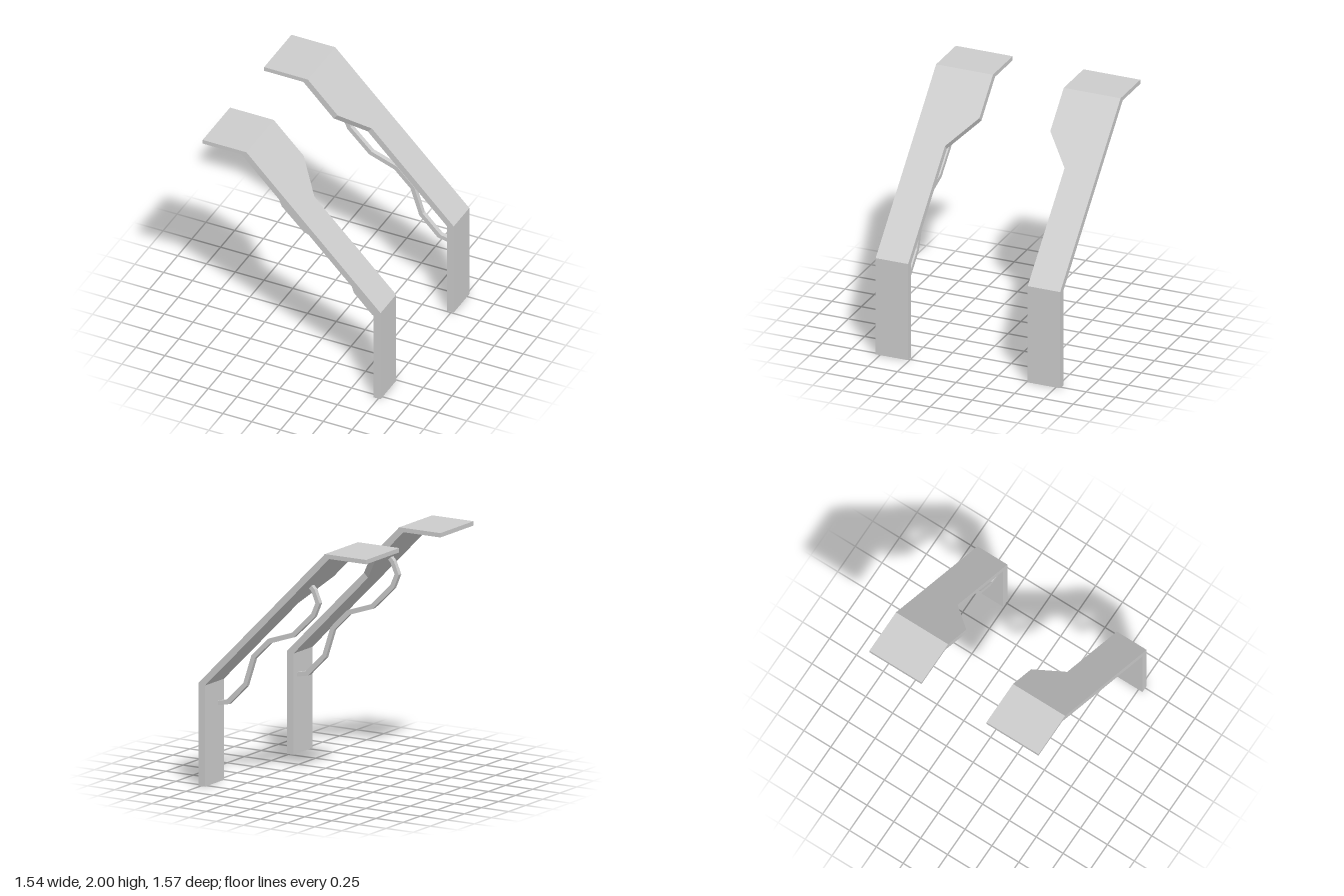
import * as THREE from 'three';

const material = new THREE.MeshStandardMaterial({ color: 0xcccccc, flatShading: true });
const Z_OUT = 0.787, Z_NARROW = 0.51, Z_WIDE = 0.302;

// Cross-sections along the strap: outer x, outer y, inner x, inner y, near-side z
const STATIONS = [
  [-0.775, 2.0, -0.775, 1.965, Z_WIDE],
  [-0.395, 2.0, -0.435, 1.965, Z_WIDE],
  [-0.135, 1.737, -0.172, 1.699, Z_WIDE],
  [0.06, 1.54, 0.023, 1.502, Z_NARROW],
  [0.77, 0.825, 0.71, 0.81, Z_NARROW],
  [0.77, 0, 0.71, 0, Z_NARROW],
];

// Bent flat strap: top flap, tapering slope and vertical leg
function strapGeometry(side) {
  const rings = STATIONS.map(([ox, oy, ix, iy, z]) => [
    [ox, oy, z * side], [ox, oy, Z_OUT * side],
    [ix, iy, Z_OUT * side], [ix, iy, z * side],
  ]);
  const positions = [];
  const quad = (a, b, c, d) => {
    const order = side > 0 ? [a, b, c, a, c, d] : [a, c, b, a, d, c];
    order.forEach((p) => positions.push(...p));
  };
  for (let i = 0; i < rings.length - 1; i++) {
    for (let k = 0; k < 4; k++) {
      const n = (k + 1) % 4;
      quad(rings[i][k], rings[i][n], rings[i + 1][n], rings[i + 1][k]);
    }
  }
  const [a, b, c, d] = rings[0];
  quad(a, d, c, b);
  quad(...rings[rings.length - 1]);
  const geometry = new THREE.BufferGeometry();
  geometry.setAttribute('position', new THREE.Float32BufferAttribute(positions, 3));
  geometry.computeVertexNormals();
  return geometry;
}

// Wavy square bar under the slope, as an outline pushed along z
function barGeometry(side) {
  const lower = [
    [-0.145, 1.69], [-0.182, 1.652], [-0.228, 1.545], [-0.18, 1.43], [0.01, 1.245],
    [0.228, 1.17], [0.37, 1.03], [0.445, 0.8], [0.605, 0.637], [0.715, 0.614],
  ];
  const upper = [
    [0.715, 0.649], [0.63, 0.668], [0.475, 0.823], [0.402, 1.05], [0.25, 1.203],
    [0.032, 1.277], [-0.15, 1.455], [-0.189, 1.545], [-0.152, 1.634], [-0.12, 1.665],
  ];
  const shape = new THREE.Shape([...lower, ...upper].map(([x, y]) => new THREE.Vector2(x, y)));
  const width = 0.038;
  const geometry = new THREE.ExtrudeGeometry(shape, { depth: width, bevelEnabled: false });
  return geometry.translate(0, 0, side * 0.58 - width / 2);
}

export function createModel() {
  const model = new THREE.Group();
  model.name = 'pairedBrackets';
  for (const side of [1, -1]) {
    const bracket = new THREE.Group();
    bracket.name = side > 0 ? 'frontBracket' : 'backBracket';
    const strap = new THREE.Mesh(strapGeometry(side), material);
    strap.name = 'strap';
    const bar = new THREE.Mesh(barGeometry(side), material);
    bar.name = 'wavyBar';
    bracket.add(strap, bar);
    model.add(bracket);
  }
  return model;
}
